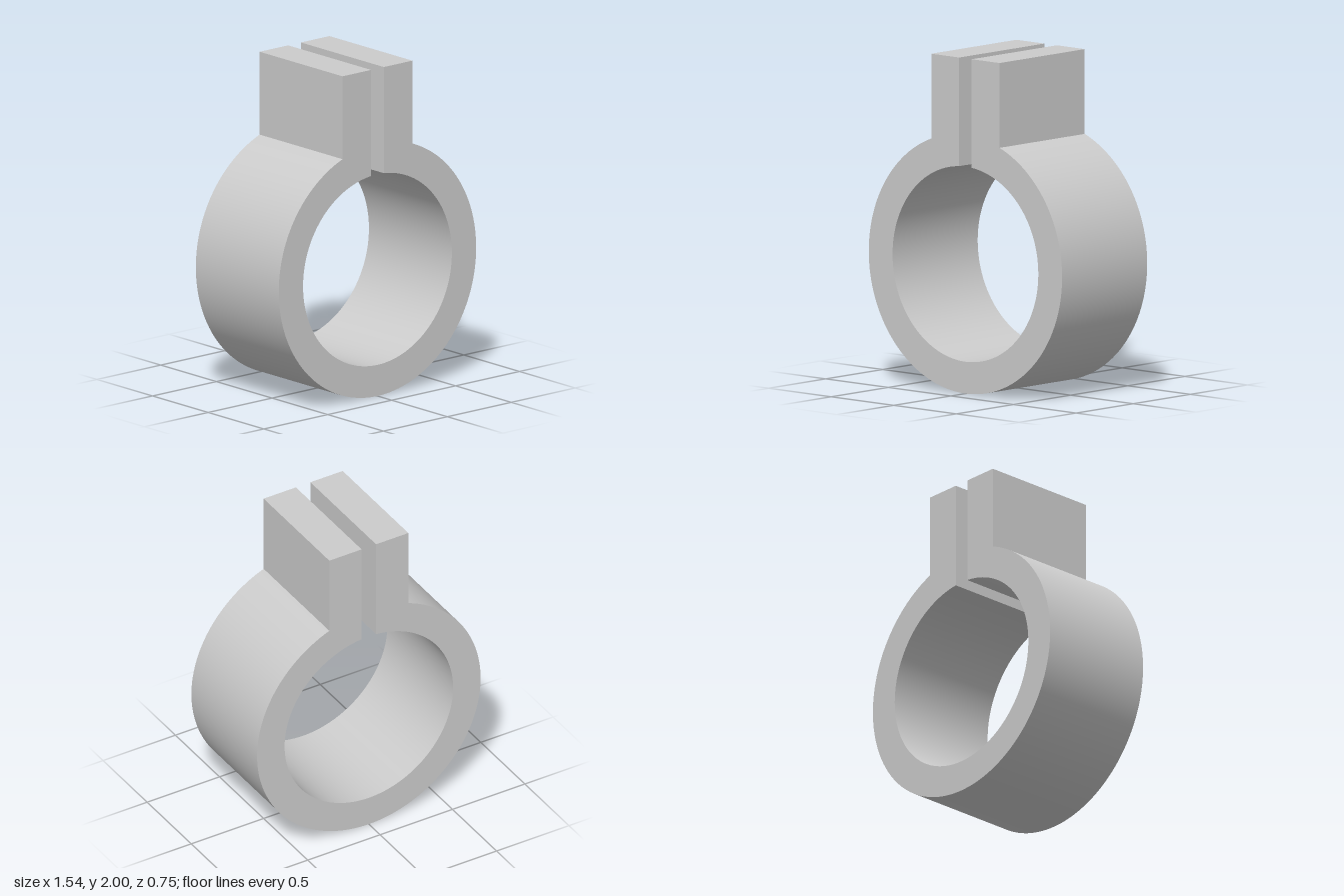
import * as THREE from 'three';
import { toCreasedNormals } from 'three/addons/utils/BufferGeometryUtils.js';

export function createModel() {
  const outer = 0.772, inner = 0.582, cy = 0.772; // ring radii and centre height
  const gap = 0.05, tab = 0.273, top = 2; // tab inner and outer x, tab height
  const depth = 0.745;

  // Angles, measured from +x, where the tabs meet the ring
  const outerAngle = Math.acos(tab / outer);
  const innerAngle = Math.acos(gap / inner);

  // Split ring running into two upright clamping tabs
  const profile = new THREE.Shape();
  profile.moveTo(-gap, top);
  profile.lineTo(-tab, top);
  profile.absarc(0, cy, outer, Math.PI - outerAngle, 2 * Math.PI + outerAngle, false);
  profile.lineTo(tab, top);
  profile.lineTo(gap, top);
  profile.absarc(0, cy, inner, innerAngle, Math.PI - innerAngle - 2 * Math.PI, true);
  profile.closePath();

  const geometry = new THREE.ExtrudeGeometry(profile, {
    depth, bevelEnabled: false, curveSegments: 64,
  });
  geometry.translate(0, 0, -depth / 2);

  const clamp = new THREE.Mesh(
    toCreasedNormals(geometry, 0.3),
    new THREE.MeshStandardMaterial({ color: 0xcccccc })
  );
  clamp.name = 'splitRingClamp';

  const model = new THREE.Group();
  model.name = 'pipeClamp';
  model.add(clamp);
  return model;
}
